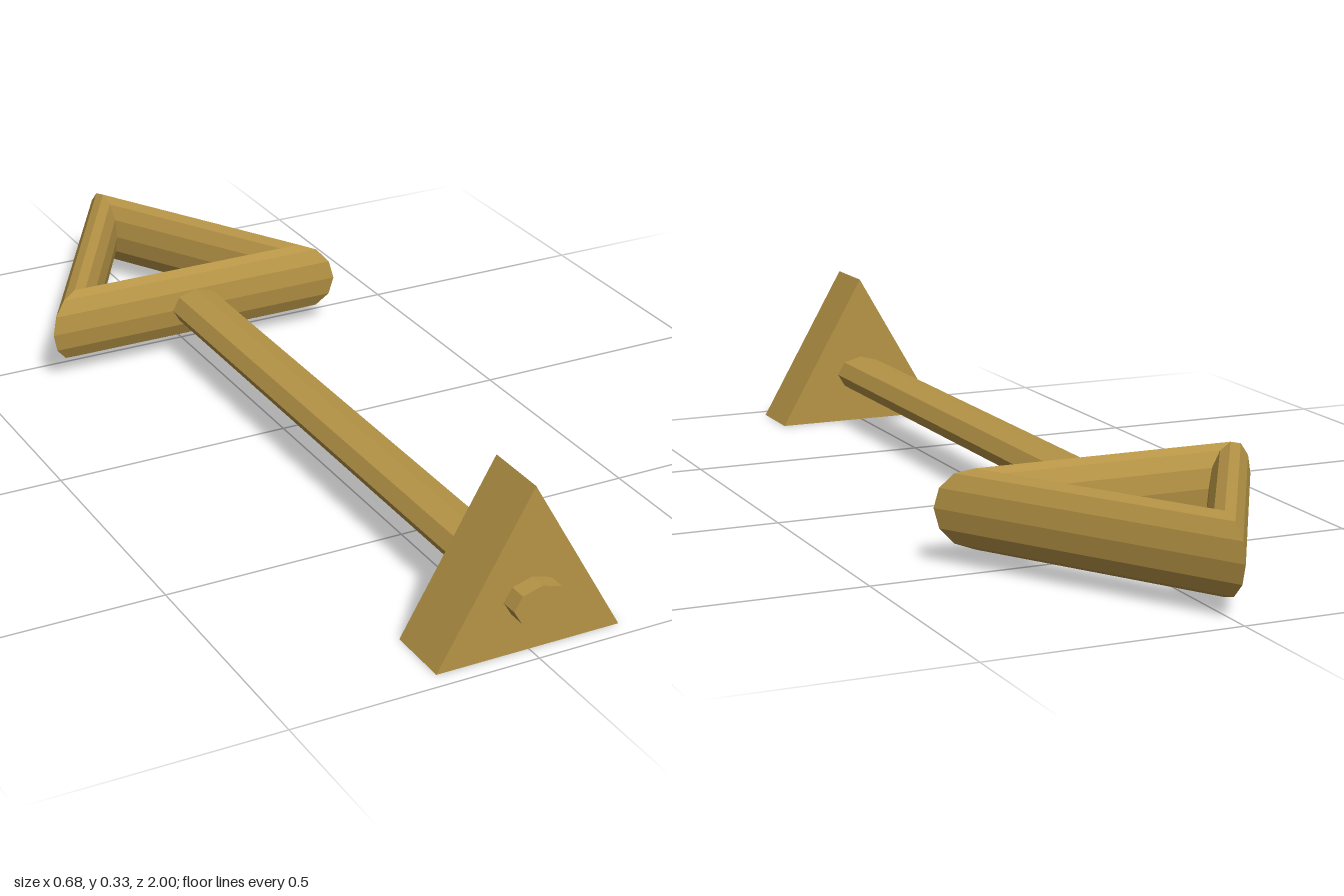
import * as THREE from 'three';

export function createModel() {
  const model = new THREE.Group();
  model.name = 'key';
  const brass = new THREE.MeshStandardMaterial({ color: 0xb69446, flatShading: true });
  brass.name = 'brass';
  const axisY = 0.111; // height of the shaft's centre line

  const add = (name, geometry, z) => {
    const mesh = new THREE.Mesh(geometry, brass);
    mesh.name = name;
    mesh.position.set(0, axisY, z);
    model.add(mesh);
  };

  // Triangular ring handle lying flat, one corner pointing back
  const handle = new THREE.TorusGeometry(0.312, 0.078, 12, 3);
  handle.rotateZ(Math.PI / 2).rotateX(-Math.PI / 2);
  add('handle', handle, -0.61);

  // Eight-sided shaft, wider than tall, sunk into the handle
  const front = 1, back = -0.45;
  const shaft = new THREE.CylinderGeometry(0.039, 0.039, front - back, 8);
  shaft.rotateX(-Math.PI / 2).scale(0.057 / 0.039, 1, 1);
  add('shaft', shaft, (front + back) / 2);

  // Upright triangular plate near the front end
  const plate = new THREE.CylinderGeometry(0.22, 0.22, 0.133, 3);
  plate.rotateX(-Math.PI / 2);
  add('endPlate', plate, 0.898);

  return model;
}
